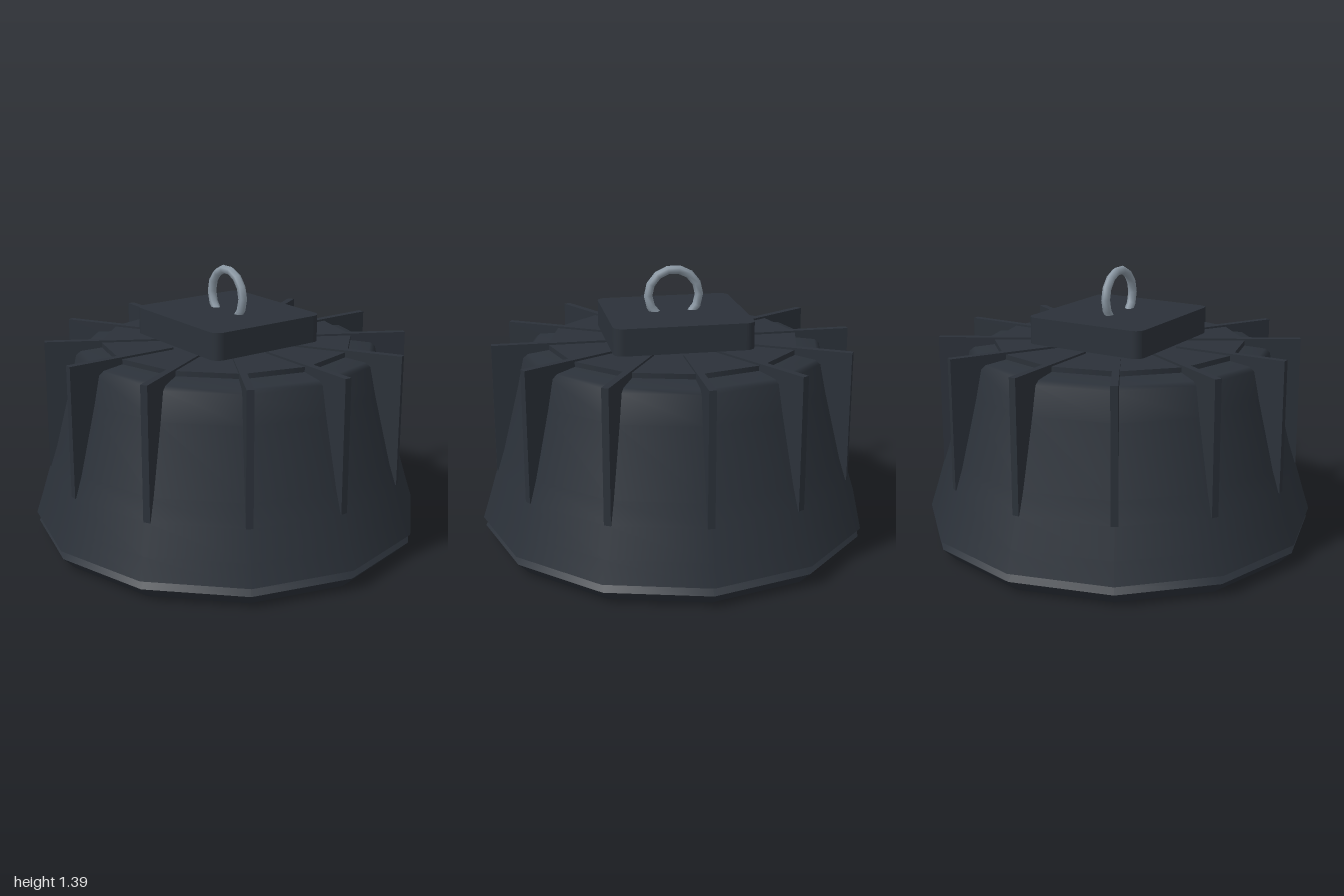
import * as THREE from 'three';
import { RoundedBoxGeometry } from 'three/addons/geometries/RoundedBoxGeometry.js';

const mat = (color) => new THREE.MeshStandardMaterial({ color });
const dark = mat(0x2b3139), steel = mat(0x8b98a4), plate = mat(0x555555);
const slate = mat(0x56616a), led = mat(0x4b4b4b), chip = mat(0x8a7f3c);
const SIDES = 12;

export function createModel() {
  const model = new THREE.Group();
  const add = (name, geometry, material, x = 0, y = 0, z = 0, parent = model) => {
    const mesh = new THREE.Mesh(geometry, material);
    mesh.name = name;
    mesh.position.set(x, y, z);
    parent.add(mesh);
    return mesh;
  };
  // Twelve-sided turned surface, profile given as [radius, y] from bottom to top
  const lathe = (name, pts) => add(name, new THREE.LatheGeometry(
    pts.map(([r, y]) => new THREE.Vector2(r, y)), SIDES), dark);

  // Housing: tapered shell, shadow groove and bevelled bottom rim
  lathe('housingShell', [[1, 0.11], [0.965, 0.22], [0.92, 0.37], [0.885, 0.48],
    [0.8, 0.82], [0.77, 0.96], [0.745, 0.98], [0.64, 0.995]]);
  lathe('groove', [[0.965, 0.095], [1, 0.11]]);
  lathe('rimTop', [[0.99, 0.065], [0.965, 0.095]]);
  lathe('rimBevel', [[0.925, 0], [0.99, 0.065]]);
  lathe('rimInside', [[0.85, 0.05], [0.925, 0]]);
  add('topPlate', new THREE.CylinderGeometry(0.64, 0.64, 0.03, SIDES), dark, 0, 1.005, 0);

  // Radial cooling fins
  const finShape = new THREE.Shape([[0.34, 0.97], [0.7, 0.97], [0.84, 0.37], [0.92, 0.37],
    [0.92, 1.03], [0.34, 1.03]].map(([x, y]) => new THREE.Vector2(x, y)));
  const finGeometry = new THREE.ExtrudeGeometry(finShape, { depth: 0.035, bevelEnabled: false });
  finGeometry.translate(0, 0, -0.0175);
  const fins = new THREE.Group();
  fins.name = 'coolingFins';
  model.add(fins);
  for (let i = 0; i < SIDES; i++) {
    add('fin', finGeometry, dark, 0, 0, 0, fins).rotation.y = (i / SIDES) * Math.PI * 2;
  }

  // Driver box with rounded vertical corners
  const w = 0.35, d = 0.325, r = 0.05;
  const box = new THREE.Shape();
  box.absarc(w - r, d - r, r, 0, Math.PI / 2);
  box.absarc(-w + r, d - r, r, Math.PI / 2, Math.PI);
  box.absarc(-w + r, -d + r, r, Math.PI, Math.PI * 1.5);
  box.absarc(w - r, -d + r, r, Math.PI * 1.5, Math.PI * 2);
  const boxGeometry = new THREE.ExtrudeGeometry(box,
    { depth: 0.135, bevelEnabled: false, curveSegments: 4 });
  boxGeometry.rotateX(-Math.PI / 2);
  add('driverBox', boxGeometry, dark, 0, 1.03, 0);

  // Hanging ring
  add('hangingRing', new THREE.TorusGeometry(0.13, 0.022, 6, 14), steel, 0, 1.245, 0);

  // Light panel: steel edge with grey face, and a round hub
  add('lightPanel', new THREE.CylinderGeometry(0.865, 0.865, 0.04, SIDES),
    [steel, plate, plate], 0, 0.05, 0);
  add('hub', new THREE.CylinderGeometry(0.105, 0.105, 0.03, 24),
    [steel, slate, slate], 0, 0.018, 0);

  // Three rings of lamps on the panel face
  const lampGeometry = new THREE.CylinderGeometry(0.04, 0.032, 0.01, 12);
  const chipGeometry = new THREE.CylinderGeometry(0.012, 0.012, 0.004, 8);
  const lamps = new THREE.Group();
  lamps.name = 'lamps';
  model.add(lamps);
  for (const [radius, count] of [[0.37, 12], [0.57, 24], [0.74, 36]]) {
    for (let i = 0; i < count; i++) {
      const a = (i / count) * Math.PI * 2;
      const x = radius * Math.cos(a), z = radius * Math.sin(a);
      add('lamp', lampGeometry, led, x, 0.026, z, lamps);
      add('lampChip', chipGeometry, chip, x, 0.02, z, lamps);
    }
  }
  return model;
}
